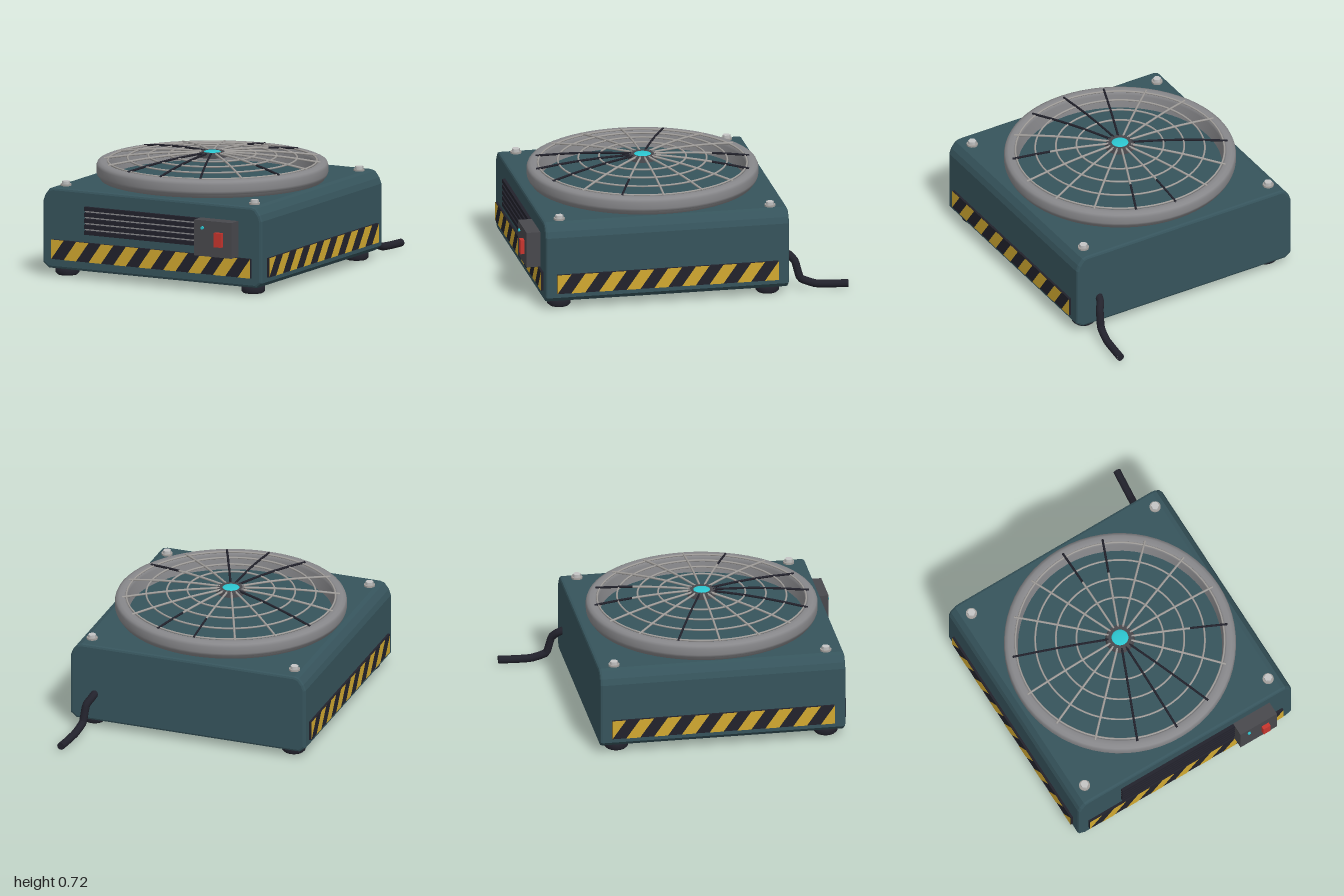
import * as THREE from 'three';

const paint = (name, color) => {
  const m = new THREE.MeshStandardMaterial({ color });
  m.name = name;
  return m;
};

export function createModel() {
  const teal = paint('teal housing', 0x36545c);
  const dark = paint('black rubber', 0x22222c);
  const yellow = paint('warning yellow', 0xd2a930);
  const grey = paint('ring grey', 0x88888b);
  const steel = paint('wire steel', 0xa29f9c);
  const light = paint('bolt steel', 0xc4c4c4);
  const charcoal = paint('charcoal', 0x48484d);
  const red = paint('switch red', 0xc8352e);
  const cyan = paint('lamp cyan', 0x2cc6d0);
  const model = new THREE.Group();
  model.name = 'boxFan';
  const ZC = 0.135;

  const add = (name, geo, mat, x = 0, y = 0, z = 0, parent = model) => {
    const m = new THREE.Mesh(geo, mat);
    m.name = name;
    m.position.set(x, y, z);
    parent.add(m);
    return m;
  };
  const box = (name, mat, w, h, d, x, y, z, parent) =>
    add(name, new THREE.BoxGeometry(w, h, d), mat, x, y, z, parent);

  // Housing: front outline with sloped upper corners, extruded along z
  const b = 0.015;
  const outline = [[-0.73, 0.05], [0.73, 0.05], [0.76, 0.075], [0.76, 0.47], [0.748, 0.505],
    [0.722, 0.54], [0.70, 0.547], [-0.70, 0.547], [-0.722, 0.54], [-0.748, 0.505], [-0.76, 0.47], [-0.76, 0.075]]
    .map(([x, y]) => new THREE.Vector2(x * (1 - b / 0.76), 0.3 + (y - 0.3) * (1 - b / 0.25)));
  const housing = new THREE.ExtrudeGeometry(new THREE.Shape(outline),
    { depth: 1.51 - 2 * b, bevelEnabled: true, bevelSize: b, bevelThickness: b, bevelSegments: 2 });
  add('housing', housing, teal, 0, 0, -0.62 + b);

  // Feet and corner bolts
  const footProfile = [[0, 0], [0.06, 0], [0.072, 0.012], [0.072, 0.052], [0, 0.052]].map(p => new THREE.Vector2(...p));
  for (const x of [-0.645, 0.645]) for (const z of [-0.505, 0.785]) {
    add('foot', new THREE.LatheGeometry(footProfile, 24), dark, x, 0.003, z);
  }
  for (const x of [-0.655, 0.655]) for (const z of [-0.52, 0.785]) {
    add('washer', new THREE.CylinderGeometry(0.034, 0.034, 0.012, 20), steel, x, 0.552, z);
    add('bolt', new THREE.CylinderGeometry(0.025, 0.025, 0.022, 6), light, x, 0.565, z);
  }

  // Fan ring
  const ringProfile = [[0.62, 0.545], [0.68, 0.545], [0.68, 0.566], [0.698, 0.572], [0.704, 0.59], [0.704, 0.63],
    [0.697, 0.648], [0.678, 0.657], [0.65, 0.657], [0.636, 0.65], [0.63, 0.63], [0.62, 0.545]]
    .map(p => new THREE.Vector2(...p));
  add('fanRing', new THREE.LatheGeometry(ringProfile, 64), grey, 0, 0, ZC);

  // Domed grille: concentric wires and curved spokes
  const grille = new THREE.Group();
  grille.name = 'grille';
  grille.position.z = ZC;
  model.add(grille);
  const domeY = r => 0.653 + 0.052 * (1 - (r / 0.66) ** 2);
  for (const r of [0.265, 0.39, 0.515, 0.635]) {
    const wire = add('grilleWire', new THREE.TorusGeometry(r, 0.006, 6, 64), steel, 0, domeY(r), 0, grille);
    wire.rotation.x = Math.PI / 2;
  }
  const spoke = (from, to, angle, mat) => {
    const points = [0, 0.33, 0.67, 1].map(t => {
      const r = from + (to - from) * t;
      return new THREE.Vector3(r, domeY(r) + 0.004, 0);
    });
    const s = add('spoke', new THREE.TubeGeometry(new THREE.CatmullRomCurve3(points), 8, 0.007, 6), mat, 0, 0, 0, grille);
    s.rotation.y = angle;
  };
  const blackSpokes = [7, 11, 12, 13];
  const halfBlackSpokes = [3, 4, 15];
  for (let i = 0; i < 16; i++) {
    const a = i * Math.PI / 8;
    if (halfBlackSpokes.includes(i)) {
      spoke(0.07, 0.43, a, steel);
      spoke(0.43, 0.66, a, dark);
    } else spoke(0.07, 0.66, a, blackSpokes.includes(i) ? dark : steel);
  }
  add('hub', new THREE.CylinderGeometry(0.082, 0.09, 0.03, 32), charcoal, 0, 0.697, 0, grille);
  const lamp = add('hubLamp', new THREE.SphereGeometry(0.052, 24, 8, 0, Math.PI * 2, 0, Math.PI / 2), cyan, 0, 0.711, 0, grille);
  lamp.scale.y = 0.15;

  // Warning panels: dark plate with slanted yellow bands
  const warningPanel = (length, x, z, turn) => {
    const panel = new THREE.Group();
    panel.name = 'warningPanel';
    panel.position.set(x, 0.17, z);
    panel.rotation.y = turn;
    model.add(panel);
    const h = 0.12, n = 8, p = length / n;
    box('panelPlate', dark, length, h, 0.015, 0, 0, 0.0065, panel);
    const at = (u, y) => new THREE.Vector2(THREE.MathUtils.clamp(u, 0, length) - length / 2, y);
    for (let k = -1; k < n; k++) {
      const u = (k + 0.5) * p, v = (k + 1) * p, s = p / 2;
      const corners = [at(u, -h / 2), at(v, -h / 2), at(v + s, h / 2), at(u + s, h / 2)]
        .filter((c, i, all) => !c.equals(all[(i + 1) % 4]));
      add('yellowBand', new THREE.ShapeGeometry(new THREE.Shape(corners)), yellow, 0, 0, 0.016, panel);
    }
  };
  warningPanel(1.38, 0, 0.89, 0);
  warningPanel(1.37, 0.76, ZC, Math.PI / 2);
  warningPanel(1.37, -0.76, ZC, -Math.PI / 2);

  // Front vent: dark slats with steel strips in the gaps
  box('ventBack', dark, 0.8, 0.17, 0.008, -0.06, 0.366, 0.891);
  for (let i = 0; i < 5; i++) {
    const y = 0.292 + i * 0.037;
    box('ventSlat', dark, 0.8, 0.024, 0.024, -0.06, y, 0.898);
    if (i < 4) box('ventStrip', grey, 0.8, 0.008, 0.004, -0.06, y + 0.0185, 0.896);
  }

  // Control box with rocker switch and indicator
  box('controlBox', charcoal, 0.26, 0.22, 0.09, 0.47, 0.345, 0.931);
  box('switch', red, 0.05, 0.088, 0.026, 0.515, 0.345, 0.987);
  const led = add('indicator', new THREE.CylinderGeometry(0.01, 0.01, 0.012, 12), cyan, 0.4, 0.41, 0.98);
  led.rotation.x = Math.PI / 2;

  // Power cable with a capped end
  const path = [[0.6, 0.235, -0.6], [0.61, 0.215, -0.645], [0.635, 0.175, -0.68], [0.645, 0.07, -0.71],
    [0.66, 0.035, -0.8], [0.67, 0.03, -0.9], [0.68, 0.03, -1]].map(p => new THREE.Vector3(...p));
  add('cable', new THREE.TubeGeometry(new THREE.CatmullRomCurve3(path, false, 'catmullrom', 0.2), 30, 0.024, 10), dark);
  const cap = add('cableEnd', new THREE.CircleGeometry(0.024, 10), dark, 0.68, 0.03, -0.999);
  cap.rotation.y = Math.PI;

  return model;
}
